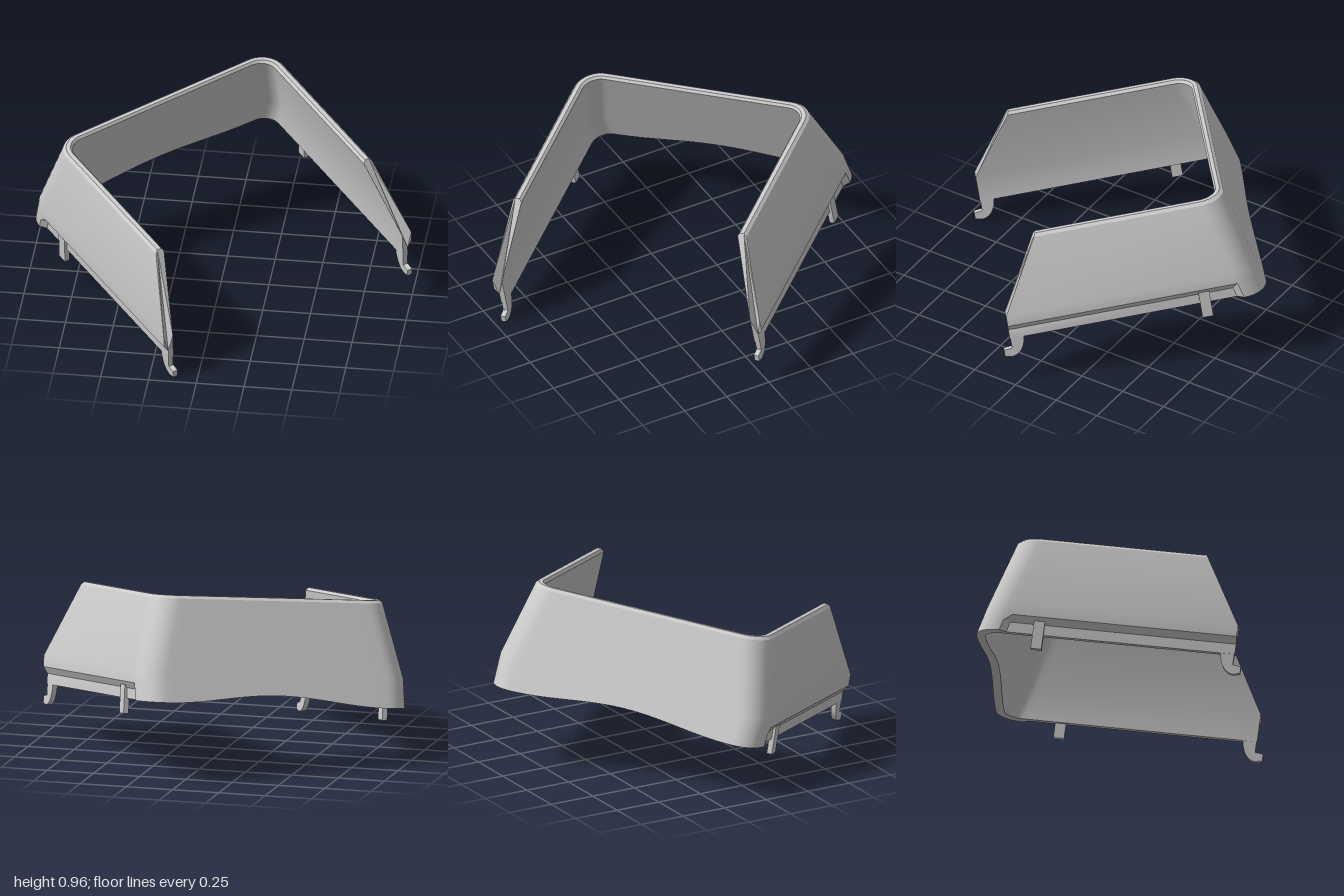
import * as THREE from 'three';
import { toCreasedNormals } from 'three/addons/utils/BufferGeometryUtils.js';

const TOP = 0.83, BASE = 0.28, KNEE = 0.43;

// Wall cross-section, up the outside and down the inside:
// [arm half width, arm half width at the corner, height, back distance at the top, corner radius]
const PROFILE = [
  [0.73, 0.755, BASE, 0.61, 0.13],
  [0.73, 0.755, 0.335, 0.61, 0.13],
  [0.755, 0.755, 0.37, 0.61, 0.13],
  [0.755, 0.755, KNEE, 0.61, 0.13],
  [0.659, 0.659, 0.815, 0.61, 0.13],
  [0.645, 0.645, TOP, 0.597, 0.12],
  [0.622, 0.622, TOP, 0.577, 0.1],
  [0.61, 0.61, 0.815, 0.564, 0.09],
  [0.70, 0.70, KNEE, 0.564, 0.09],
  [0.70, 0.70, BASE, 0.564, 0.09],
];
const ARC = 10, SPAN = 14;

// The arm's front edge slants down to the knee, then drops straight
const armEnd = (v) => 0.39 + 0.225 * Math.min(1, (TOP - v) / (TOP - KNEE));
// The back wall leans outward towards the bottom
const backAt = (top, v) => top + (TOP - v) * 0.255;

// One profile point followed from the arm's front edge to the middle of the back
function halfPath([h, hCorner, v, top, r]) {
  const d = backAt(top, v), pts = [];
  pts.push([-h, v, armEnd(v)], [-h, v, -d + r + 0.035], [-hCorner, v, -d + r]);
  for (let i = 1; i <= ARC; i++) {
    const a = (i / ARC) * Math.PI / 2;
    pts.push([-hCorner + r - r * Math.cos(a), v, -d + r - r * Math.sin(a)]);
  }
  for (let i = 1; i <= SPAN; i++) {
    const t = i / SPAN;
    // gentle arch along the bottom of the back
    const lift = v < KNEE ? (KNEE - v) / (KNEE - BASE) * 0.025 * (1 - Math.cos(Math.PI * t)) : 0;
    pts.push([-(hCorner - r) * (1 - t), v + lift, -backAt(top, v + lift)]);
  }
  return pts;
}

function wallGeometry() {
  const paths = PROFILE.map((p) => {
    const half = halfPath(p);
    const mirrored = half.slice(0, -1).reverse().map(([x, y, z]) => [-x, y, z]);
    return half.concat(mirrored);
  });
  const n = PROFILE.length, stations = paths[0].length;
  const pos = [], index = [];
  for (let s = 0; s < stations; s++) for (let k = 0; k < n; k++) pos.push(...paths[k][s]);
  for (let s = 0; s < stations - 1; s++) {
    for (let k = 0; k < n; k++) {
      const a = s * n + k, b = s * n + (k + 1) % n;
      index.push(a, b, a + n, b, b + n, a + n);
    }
  }
  // Close the two arm ends
  const outline = PROFILE.map((p) => new THREE.Vector2(p[0], p[2]));
  const last = (stations - 1) * n;
  for (const [a, b, c] of THREE.ShapeUtils.triangulateShape(outline, [])) {
    index.push(a, c, b, last + a, last + b, last + c);
  }
  const geo = new THREE.BufferGeometry();
  geo.setAttribute('position', new THREE.Float32BufferAttribute(pos, 3));
  geo.setIndex(index);
  return toCreasedNormals(geo, 0.45);
}

// J-shaped hook with a small toe pointing forward
function hookGeometry() {
  const s = new THREE.Shape();
  s.moveTo(0.612, 0.34);
  s.lineTo(0.612, 0.222);
  s.lineTo(0.655, 0.217);
  s.lineTo(0.655, 0.18);
  s.lineTo(0.62, 0.172);
  s.bezierCurveTo(0.575, 0.172, 0.545, 0.22, 0.54, 0.282);
  s.lineTo(0.54, 0.34);
  s.closePath();
  const geo = new THREE.ExtrudeGeometry(s, { depth: 0.027, bevelEnabled: false, curveSegments: 10 });
  geo.rotateY(-Math.PI / 2);
  geo.translate(0.0135, 0, 0);
  return toCreasedNormals(geo, 0.5);
}

export function createModel() {
  const material = new THREE.MeshStandardMaterial({ color: 0xcccccc });
  const body = new THREE.Group();
  body.name = 'hood';
  const add = (name, geo, x = 0, y = 0, z = 0) => {
    const mesh = new THREE.Mesh(geo, material);
    mesh.name = name;
    mesh.position.set(x + 0.037, y, z);
    body.add(mesh);
  };

  add('wall', wallGeometry());

  // Hook and peg under each arm
  const hook = hookGeometry(), peg = new THREE.BoxGeometry(0.028, 0.15, 0.057);
  for (const [side, name] of [[1, 'left'], [-1, 'right']]) {
    add(name + 'Hook', hook, side * 0.715, 0, 0);
    add(name + 'Peg', peg, side * 0.73, 0.275, -0.418);
  }

  // Turned sideways and tipped forward
  body.rotation.set(0.178, THREE.MathUtils.degToRad(39), 0);
  const model = new THREE.Group();
  model.name = 'model';
  model.add(body);
  return model;
}
